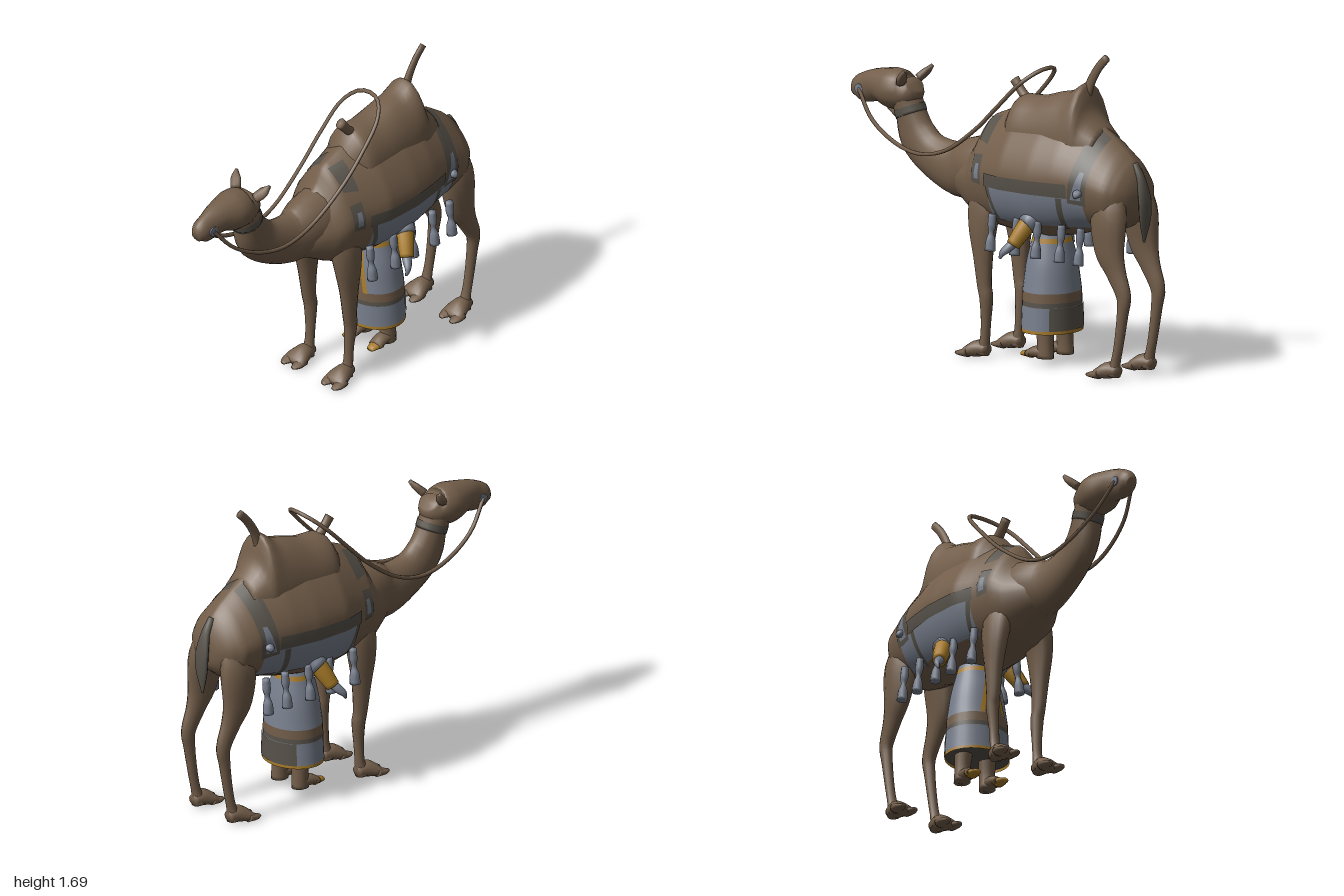
import * as THREE from 'three';
import { mergeVertices } from 'three/addons/utils/BufferGeometryUtils.js';

const mat = (name, color) => new THREE.MeshStandardMaterial({ name, color, side: THREE.DoubleSide });

// Smooth grid surface from a function f(u, v) -> [x, y, z]
function sheet(f, nu, nv) {
  const pos = [], idx = [];
  for (let i = 0; i <= nu; i++) for (let j = 0; j <= nv; j++) pos.push(...f(i / nu, j / nv));
  for (let i = 0; i < nu; i++) for (let j = 0; j < nv; j++) {
    const a = i * (nv + 1) + j, c = a + nv + 1;
    idx.push(a, a + 1, c, a + 1, c + 1, c);
  }
  let g = new THREE.BufferGeometry();
  g.setAttribute('position', new THREE.Float32BufferAttribute(pos, 3));
  g.setIndex(idx);
  g = mergeVertices(g, 1e-5);
  g.computeVertexNormals();
  return g;
}

// Lofted limb through rows of [x, y, z, half width, half depth]
function limb(rows, sides = 14, capped = true) {
  const smooth = (pts) => new THREE.CatmullRomCurve3(pts, false, 'catmullrom', 0.5);
  const path = smooth(rows.map((r) => new THREE.Vector3(r[0], r[1], r[2])));
  const size = smooth(rows.map((r) => new THREE.Vector3(r[3], r[4], 0)));
  const n = (rows.length - 1) * 4, extra = capped ? 2 : 0;
  return sheet((u, v) => {
    const k = Math.round(u * (n + extra)) - extra / 2;
    const t = Math.min(Math.max(k / n, 0), 1);
    const c = path.getPoint(t), r = size.getPoint(t), T = path.getTangent(t);
    if (k < 0 || k > n) return c.toArray();
    const X = new THREE.Vector3(1, 0, 0).addScaledVector(T, -T.x).normalize();
    const N = T.clone().cross(X), a = (v % 1) * Math.PI * 2;
    return c.addScaledVector(X, r.x * Math.cos(a)).addScaledVector(N, r.y * Math.sin(a)).toArray();
  }, n + extra, sides);
}

// Interpolate a table whose first column is the key, in rising order
function lookup(table, key) {
  let i = 0;
  while (i < table.length - 2 && key > table[i + 1][0]) i++;
  const t = THREE.MathUtils.clamp((key - table[i][0]) / (table[i + 1][0] - table[i][0]), 0, 1);
  return table[i].map((a, k) => a + (table[i + 1][k] - a) * t);
}

// Trunk sections: z, bottom, top, half width
const TRUNK = [
  [-0.955, 0.90, 1.06, 0.07], [-0.92, 0.84, 1.14, 0.15], [-0.86, 0.79, 1.20, 0.20], [-0.78, 0.77, 1.26, 0.215],
  [-0.70, 0.76, 1.31, 0.225], [-0.55, 0.72, 1.37, 0.255], [-0.40, 0.69, 1.38, 0.275], [-0.20, 0.69, 1.37, 0.27],
  [-0.08, 0.70, 1.33, 0.235], [0.04, 0.71, 1.28, 0.21], [0.10, 0.74, 1.17, 0.185], [0.20, 0.80, 1.09, 0.125],
  [0.30, 0.84, 1.06, 0.06]];
function trunkX(z, y) {
  const [, lo, hi, w] = lookup(TRUNK, z);
  const d = THREE.MathUtils.clamp((2 * y - lo - hi) / (hi - lo), -1, 1), e = d < 0 ? 2.2 : 1.45;
  return w * (1 - Math.abs(d) ** e) ** (1 / e);
}

// Robe sections: y, half width, half depth
const ROBE = [[0.185, 0.18, 0.152], [0.4, 0.168, 0.147], [0.55, 0.145, 0.13], [0.66, 0.115, 0.105], [0.76, 0.09, 0.08]];
function robePoint(a, y, lift = 0) {
  const [, rx, rz] = lookup(ROBE, y);
  return [(rx + lift) * Math.sin(a), y, -0.35 + (rz + lift) * Math.cos(a)];
}

export function createModel() {
  const root = new THREE.Group();
  const brown = mat('brown hide', 0x735e4a), dark = mat('dark strap', 0x57524a);
  const grey = mat('slate cloth', 0x787f8d), gold = mat('gold trim', 0xa97c28);
  const add = (name, geo, m) => {
    const mesh = new THREE.Mesh(geo, m);
    mesh.name = name;
    root.add(mesh);
    return mesh;
  };

  // Trunk with draped blanket
  add('trunk', sheet((u, v) => {
    const k = Math.round(u * 66) - 1, z = -0.955 + 1.255 * THREE.MathUtils.clamp(k / 64, 0, 1);
    const [, lo, hi] = lookup(TRUNK, z), a = (v % 1) * Math.PI * 2;
    if (k < 0 || k > 64) return [0, (lo + hi) / 2, z];
    const y = (lo + hi) / 2 + Math.sin(a) * (hi - lo) / 2;
    return [Math.sign(Math.cos(a)) * trunkX(z, y), y, z];
  }, 66, 44), brown);

  // Neck, head and saddle
  add('neck', limb([[0, 0.99, 0.0, 0.15, 0.19], [0, 0.98, 0.14, 0.14, 0.17], [0, 0.957, 0.29, 0.1, 0.146],
    [0, 1.01, 0.46, 0.08, 0.118], [0, 1.095, 0.56, 0.075, 0.112], [0, 1.215, 0.61, 0.078, 0.085],
    [0, 1.30, 0.645, 0.085, 0.085]], 18), brown);
  add('head', limb([[0, 1.37, 0.585, 0.06, 0.045], [0, 1.33, 0.63, 0.095, 0.095], [0, 1.33, 0.72, 0.108, 0.11],
    [0, 1.335, 0.82, 0.08, 0.088], [0, 1.315, 0.9, 0.058, 0.082], [0, 1.3, 0.96, 0.05, 0.066],
    [0, 1.285, 0.995, 0.028, 0.03]], 18), brown);
  add('halter', limb([[0, 1.205, 0.606, 0.081, 0.09], [0, 1.245, 0.622, 0.083, 0.089]], 18, false), dark);
  add('saddle', limb([[0, 1.2, -0.08, 0.08, 0.1], [0, 1.2, -0.13, 0.13, 0.18], [0, 1.2, -0.18, 0.165, 0.22],
    [0, 1.2, -0.3, 0.17, 0.228], [0, 1.2, -0.42, 0.17, 0.262], [0, 1.2, -0.51, 0.17, 0.285],
    [0, 1.2, -0.585, 0.165, 0.332], [0, 1.2, -0.612, 0.16, 0.28], [0, 1.2, -0.64, 0.15, 0.18], [0, 1.2, -0.72, 0.12, 0.09]], 24), brown);
  add('saddlePommel', limb([[0, 1.37, -0.2, 0.03, 0.03], [0, 1.43, -0.14, 0.025, 0.025], [0, 1.485, -0.095, 0.022, 0.03]], 10), brown);
  add('saddlePost', limb([[0, 1.46, -0.585, 0.022, 0.03], [0, 1.54, -0.615, 0.016, 0.026],
    [0, 1.62, -0.665, 0.014, 0.024], [0, 1.68, -0.722, 0.014, 0.022]], 10), brown);
  add('tail', limb([[0, 1.14, -0.91, 0.02, 0.02], [0, 1.06, -0.955, 0.03, 0.02], [0, 0.95, -0.98, 0.048, 0.02],
    [0, 0.85, -0.982, 0.042, 0.018], [0, 0.73, -0.975, 0.006, 0.006]], 10), dark);

  // Reins, one loop from cheek to cheek
  const rein = [[0.056, 1.31, 0.92], [0.095, 1.17, 0.8], [0.12, 1.07, 0.62], [0.13, 1.035, 0.45], [0.135, 1.075, 0.27],
    [0.148, 1.22, 0.05], [0.15, 1.36, -0.1], [0.13, 1.5, -0.24], [0.07, 1.56, -0.305]];
  const loop = [...rein, [0, 1.573, -0.32], ...rein.slice().reverse().map(([x, y, z]) => [-x, y, z])];
  add('reins', new THREE.TubeGeometry(new THREE.CatmullRomCurve3(loop.map((p) => new THREE.Vector3(...p))), 80, 0.011, 6), brown);

  // Blanket panels: material, lift, four corners as [z, y]
  const panels = [
    ['blanketFringePanel', grey, 0.003, [-0.1, 0.77], [-0.73, 0.79], [-0.1, 0.96], [-0.73, 0.95]],
    ['blanketBorder', dark, 0.005, [-0.08, 0.95], [-0.64, 0.955], [-0.08, 1.02], [-0.64, 1.03]],
    ['frontStrapUpper', dark, 0.004, [0.025, 1.17], [-0.055, 1.16], [0.03, 1.275], [-0.06, 1.3]],
    ['frontStrapLower', dark, 0.004, [0.02, 0.96], [-0.05, 0.95], [0.025, 1.1], [-0.045, 1.11]],
    ['frontStrapInlay', grey, 0.006, [0.0, 0.98], [-0.035, 0.98], [-0.005, 1.06], [-0.03, 1.06]],
    ['rearStrap', dark, 0.004, [-0.64, 0.93], [-0.75, 0.92], [-0.69, 1.31], [-0.775, 1.26]],
    ['rearStrapInlay', grey, 0.006, [-0.66, 0.95], [-0.725, 0.95], [-0.71, 1.1], [-0.735, 1.1]],
    ['frontSeam', dark, 0.005, [-0.13, 0.78], [-0.155, 0.78], [-0.09, 0.95], [-0.12, 0.95]],
    ['rearSeam', dark, 0.005, [-0.56, 0.77], [-0.59, 0.77], [-0.575, 0.95], [-0.61, 0.95]],
  ];
  for (const s of [1, -1]) {
    const side = s > 0 ? 'left' : 'right';
    const pair = (name, rows, m, sides) => add(side + name, limb(rows.map(([x, ...r]) => [s * x, ...r]), sides), m);
    for (const [name, m, lift, a, b, c, d] of panels) {
      add(name, sheet((u, v) => {
        const p = s > 0 ? v : 1 - v;
        const at = (k) => (a[k] * (1 - p) + b[k] * p) * (1 - u) + (c[k] * (1 - p) + d[k] * p) * u;
        return [s * (trunkX(at(0), at(1)) + lift), at(1), at(0)];
      }, 14, 20), m);
    }

    // Tassels hanging from the blanket edge
    for (const z of [-0.11, -0.28, -0.42, -0.58, -0.71]) {
      const x = Math.max(0.2, trunkX(z, 0.79));
      pair('Tassel', [[x, 0.8, z, 0.02, 0.02], [x + 0.005, 0.74, z, 0.022, 0.022], [x + 0.01, 0.7, z, 0.014, 0.014],
        [x + 0.015, 0.66, z, 0.025, 0.025], [x + 0.02, 0.605, z, 0.028, 0.03]], grey, 8);
    }
    // Blanket knobs over the hips
    pair('HipKnob', [[0.2, 1.0, -0.71, 0.02, 0.025], [0.235, 0.985, -0.71, 0.02, 0.025], [0.25, 0.97, -0.71, 0.008, 0.01]], grey, 8);

    // Ears and bit discs
    pair('Ear', [[0.07, 1.385, 0.62, 0.03, 0.024], [0.1, 1.42, 0.59, 0.032, 0.02], [0.12, 1.455, 0.562, 0.006, 0.01]], brown, 8);
    const bit = add('bitDisc', new THREE.CylinderGeometry(0.026, 0.026, 0.008, 14), grey);
    bit.rotation.z = Math.PI / 2;
    bit.position.set(s * 0.056, 1.31, 0.92);

    // Legs
    pair('FrontLeg', [[0.09, 0.98, 0, 0.05, 0.08], [0.125, 0.84, 0, 0.065, 0.1], [0.146, 0.71, 0, 0.056, 0.088],
      [0.15, 0.55, -0.005, 0.043, 0.058], [0.148, 0.4, -0.012, 0.034, 0.042], [0.145, 0.33, -0.022, 0.034, 0.038],
      [0.14, 0.2, -0.016, 0.027, 0.027], [0.14, 0.1, -0.008, 0.028, 0.027], [0.14, 0.03, 0.01, 0.04, 0.04]], brown);
    pair('HindLeg', [[0.08, 1.06, -0.81, 0.05, 0.08], [0.125, 0.88, -0.838, 0.072, 0.11], [0.14, 0.7, -0.855, 0.055, 0.095],
      [0.14, 0.58, -0.9, 0.04, 0.062], [0.14, 0.46, -0.952, 0.032, 0.044], [0.14, 0.36, -0.945, 0.028, 0.032],
      [0.14, 0.2, -0.92, 0.025, 0.026], [0.14, 0.1, -0.898, 0.028, 0.026], [0.14, 0.03, -0.88, 0.04, 0.04]], brown);
    for (const z of [0, -0.89]) {
      pair('Foot', [[0.14, 0.055, z - 0.03, 0.03, 0.028], [0.142, 0.055, z + 0.03, 0.05, 0.045],
        [0.145, 0.036, z + 0.09, 0.068, 0.03], [0.146, 0.025, z + 0.115, 0.05, 0.014]], brown);
      for (const t of [-1, 1]) {
        pair('Toe', [[0.146 + t * 0.033, 0.034, z + 0.07, 0.035, 0.027], [0.146 + t * 0.038, 0.028, z + 0.115, 0.032, 0.017],
          [0.146 + t * 0.036, 0.024, z + 0.15, 0.014, 0.008]], brown, 10);
      }
    }

    // Attendant's arms and feet
    pair('Shoulder', [[0.17, 0.83, -0.39, 0.05, 0.05], [0.225, 0.775, -0.358, 0.052, 0.052]], grey);
    pair('Sleeve', [[0.205, 0.8, -0.37, 0.046, 0.05], [0.24, 0.735, -0.34, 0.044, 0.046], [0.275, 0.67, -0.312, 0.036, 0.038]], gold);
    pair('Hand', [[0.265, 0.685, -0.315, 0.024, 0.024], [0.295, 0.655, -0.295, 0.024, 0.024],
      [0.318, 0.63, -0.275, 0.014, 0.018], [0.32, 0.6, -0.26, 0.005, 0.008]], grey, 10);
    pair('Shin', [[0.075, 0.26, -0.36, 0.05, 0.055], [0.08, 0.13, -0.37, 0.042, 0.045], [0.082, 0.045, -0.37, 0.042, 0.05]], brown);
    pair('AttendantFoot', [[0.082, 0.075, -0.39, 0.038, 0.032], [0.084, 0.075, -0.32, 0.04, 0.032], [0.088, 0.06, -0.265, 0.04, 0.02]], brown);
    pair('ToeCap', [[0.088, 0.062, -0.29, 0.041, 0.025], [0.09, 0.055, -0.225, 0.022, 0.012]], gold);

    // Gold edging down the robe opening
    add('robeEdging', sheet((u, v) => robePoint(s * (0.1 + 0.24 * (1 - u) + (s > 0 ? v : 1 - v) * 0.15),
      0.4 + 0.23 * u, 0.005), 8, 3), gold);
  }

  // Attendant's robe in bands: name, material, bottom, top
  for (const [name, m, lo, hi] of [['robeHem', gold, 0.185, 0.202], ['robeLowerPanel', grey, 0.202, 0.325],
    ['robeDarkBand', dark, 0.325, 0.35], ['robeBrownBand', brown, 0.35, 0.4], ['robeSkirt', grey, 0.4, 0.66],
    ['robeSash', gold, 0.66, 0.685], ['robeWaist', grey, 0.685, 0.76]]) {
    add(name, sheet((u, v) => robePoint((v % 1) * Math.PI * 2, lo + (hi - lo) * u), 6, 32), m);
  }
  add('robeOpening', sheet((u, v) => robePoint((v * 2 - 1) * (0.12 + 0.24 * (1 - u)), 0.4 + 0.23 * u, 0.003), 8, 8), brown);
  add('robeFrontSeam', sheet((u, v) => robePoint((v * 2 - 1) * 0.09, 0.203 + 0.122 * u, 0.004), 3, 4), dark);
  add('robeBackPanel', sheet((u, v) => robePoint(Math.PI + (v * 2 - 1) * 0.9, 0.203 + 0.122 * u, 0.004), 3, 14), dark);
  add('robeUnderside', new THREE.CircleGeometry(1, 32).rotateX(Math.PI / 2).scale(0.178, 1, 0.15).translate(0, 0.2, -0.35), dark);
  return root;
}
